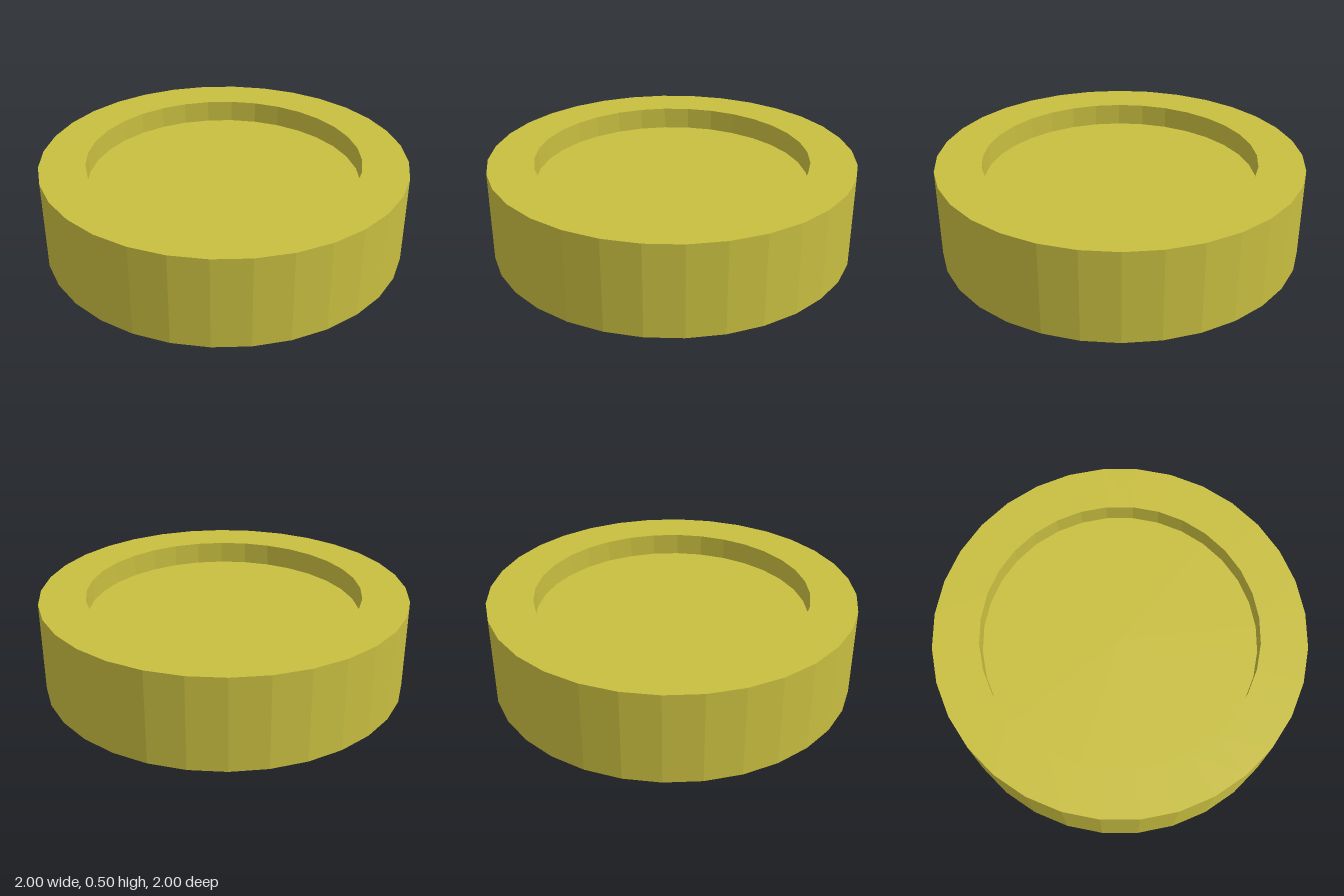
import * as THREE from 'three';

const SIDES = 32;
const OUTER = 1, INNER = 0.75, HEIGHT = 0.5, RECESS = 0.125;

export function createModel() {
  const group = new THREE.Group();
  group.name = 'recessedDisc';
  const material = new THREE.MeshStandardMaterial({ color: 0xc8be40, flatShading: true });

  // Thick ring: lower recess wall, underside, outer wall, top, upper recess wall
  const profile = [
    [INNER, RECESS], [INNER, 0], [OUTER, 0],
    [OUTER, HEIGHT], [INNER, HEIGHT], [INNER, HEIGHT - RECESS],
  ].map(([r, y]) => new THREE.Vector2(r, y));
  const rim = new THREE.Mesh(new THREE.LatheGeometry(profile, SIDES), material);
  rim.name = 'rim';
  group.add(rim);

  // Flat floors of the recesses above and below
  for (const [name, y, turn] of [
    ['topRecessFloor', HEIGHT - RECESS, -Math.PI / 2],
    ['bottomRecessFloor', RECESS, Math.PI / 2],
  ]) {
    const floor = new THREE.Mesh(new THREE.CircleGeometry(INNER, SIDES), material);
    floor.name = name;
    floor.rotation.x = turn;
    floor.position.y = y;
    group.add(floor);
  }

  return group;
}
